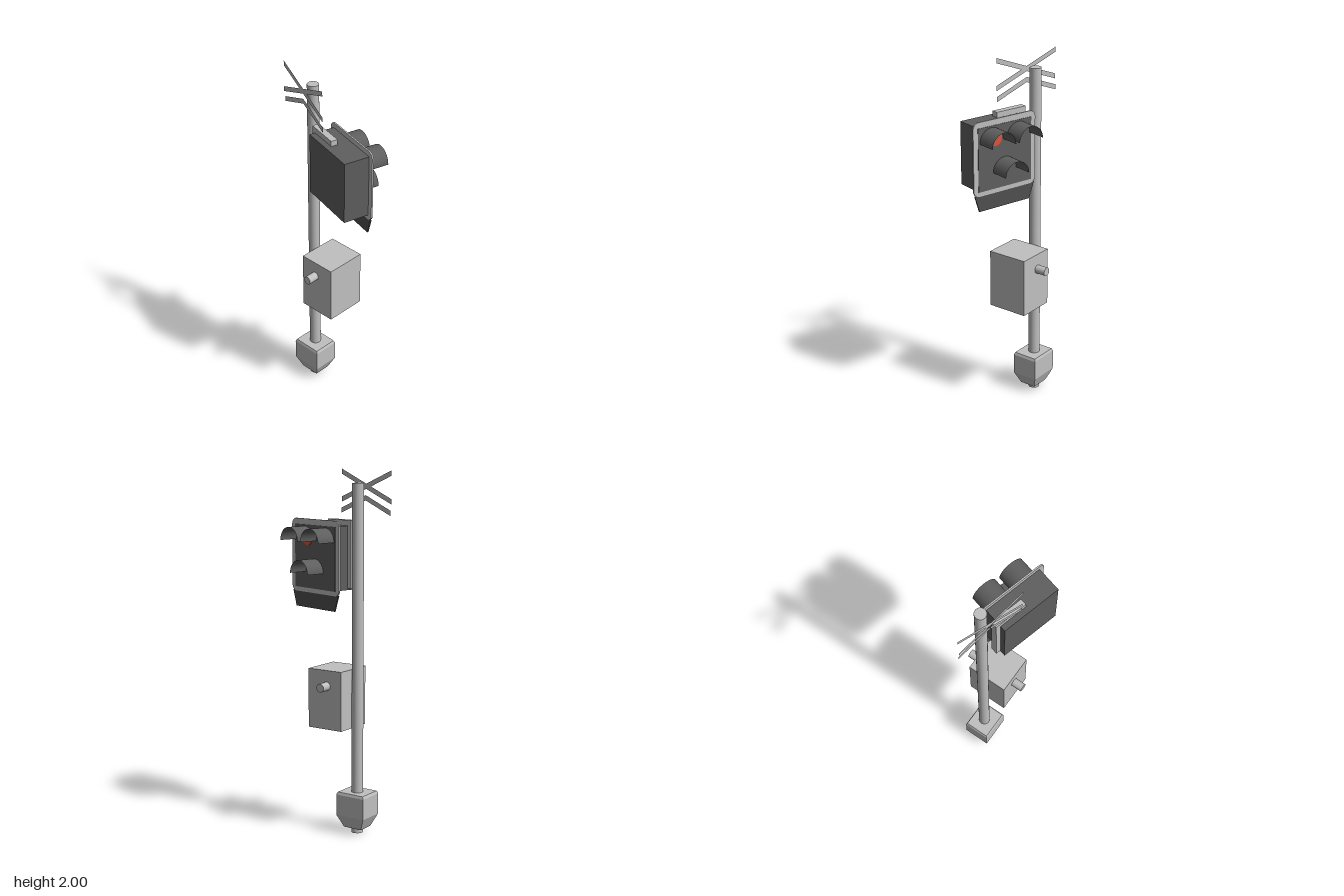
import * as THREE from 'three';

const material = (name, color, side = THREE.FrontSide) => {
  const m = new THREE.MeshStandardMaterial({ color, side });
  m.name = name;
  return m;
};

export function createModel() {
  const group = new THREE.Group();
  const grey = material('galvanisedGrey', 0xc0c0c0, THREE.DoubleSide);
  const dark = material('housingDark', 0x5f5f5f, THREE.DoubleSide);
  const darker = material('skirtDark', 0x505050);
  const red = material('lampRed', 0xdb5640);
  const TURN = Math.PI / 12; // base and cabinet are turned on the pole

  const add = (name, geometry, mat, x = 0, y = 0, z = 0, parent = group) => {
    const mesh = new THREE.Mesh(geometry, mat);
    mesh.name = name;
    mesh.position.set(x, y, z);
    parent.add(mesh);
    return mesh;
  };
  const box = (w, h, d) => new THREE.BoxGeometry(w, h, d);

  // Shape drawn in the (-z, y) plane, given thickness along +x
  const sidePlate = (shape, depth) =>
    new THREE.ExtrudeGeometry(shape, { depth, bevelEnabled: false, curveSegments: 6 }).rotateY(Math.PI / 2);
  const polygon = (points) => new THREE.Shape(points.map(([z, y]) => new THREE.Vector2(-z, y)));

  // Pole
  add('pole', new THREE.CylinderGeometry(0.032, 0.032, 1.93, 24), grey, -0.03, 0.965, -0.14);

  // Foot block: a box with tapered bottom and softened top edge
  const rings = [[0.03, 0.63], [0.1, 1], [0.217, 1], [0.232, 0.93]];
  let foot = new THREE.BoxGeometry(0.152, 3, 0.178, 1, 3, 1);
  const p = foot.attributes.position;
  for (let i = 0; i < p.count; i++) {
    const [y, s] = rings[Math.round(p.getY(i) + 1.5)];
    p.setXYZ(i, p.getX(i) * s, y, p.getZ(i) * s);
  }
  foot = foot.toNonIndexed();
  foot.computeVertexNormals();
  add('footBlock', foot, grey, -0.032, 0, -0.138).rotation.y = TURN;

  // Cabinet with a conduit running through it
  const cabinet = new THREE.Group();
  cabinet.name = 'cabinet';
  cabinet.position.set(0.002, 0, -0.004);
  cabinet.rotation.y = TURN;
  group.add(cabinet);
  add('cabinetBox', box(0.235, 0.33, 0.218), grey, 0, 0.755, 0, cabinet);
  add('conduit', new THREE.CylinderGeometry(0.024, 0.024, 0.361, 20).rotateZ(Math.PI / 2),
    grey, 0, 0.832, -0.013, cabinet);

  // Signal housing and its strap over the top and down the pole side
  add('housing', box(0.147, 0.35, 0.35), dark, -0.0315, 1.523, 0.126);
  add('strapTop', box(0.038, 0.03, 0.192), grey, -0.053, 1.713, 0.019);
  add('strapSide', box(0.038, 0.34, 0.028), grey, -0.053, 1.528, -0.063);

  // Backing plate with rounded corners
  const [a0, a1, y0, y1, r] = [-0.33, 0.076, 1.32, 1.727, 0.035];
  const plate = new THREE.Shape();
  plate.absarc(a1 - r, y0 + r, r, -Math.PI / 2, 0);
  plate.absarc(a1 - r, y1 - r, r, 0, Math.PI / 2);
  plate.absarc(a0 + r, y1 - r, r, Math.PI / 2, Math.PI);
  plate.absarc(a0 + r, y0 + r, r, Math.PI, Math.PI * 1.5);
  add('backingPlate', sidePlate(plate, 0.009), grey, 0.04);
  add('facePanel', box(0.003, 0.35, 0.348), dark, 0.05, 1.52, 0.127);

  // Tapered skirt under the plate
  add('skirt', sidePlate(polygon([[0.323, 1.325], [0.295, 1.235], [-0.037, 1.235], [-0.069, 1.325]]), 0.008),
    darker, 0.0405);

  // Lamp and half-round hoods
  add('lamp', new THREE.CylinderGeometry(0.042, 0.042, 0.004, 24).rotateZ(-Math.PI / 2), red, 0.053, 1.624, 0.19);
  const hood = new THREE.CylinderGeometry(0.076, 0.076, 0.113, 18, 1, true, Math.PI, Math.PI).rotateZ(-Math.PI / 2);
  for (const [y, z] of [[1.61, 0.215], [1.61, 0.039], [1.435, 0.13]]) {
    add('hood', hood, dark, 0.1065, y, z);
  }

  // Aerial: two crossed slats and a drooping pair, all flat sheets
  const slats = [
    [[0.07, 1.985], [-0.33, 1.835]],
    [[0.07, 1.835], [-0.33, 1.985]],
    [[0.07, 1.775], [-0.13, 1.85]],
    [[-0.13, 1.85], [-0.33, 1.775]],
  ];
  const h = 0.014;
  slats.forEach(([[za, ya], [zb, yb]], i) => {
    const shape = polygon([[za, ya - h], [zb, yb - h], [zb, yb + h], [za, ya + h]]);
    add('aerialSlat', new THREE.ShapeGeometry(shape).rotateY(Math.PI / 2), grey, -0.097 + i * 0.002);
  });

  return group;
}
